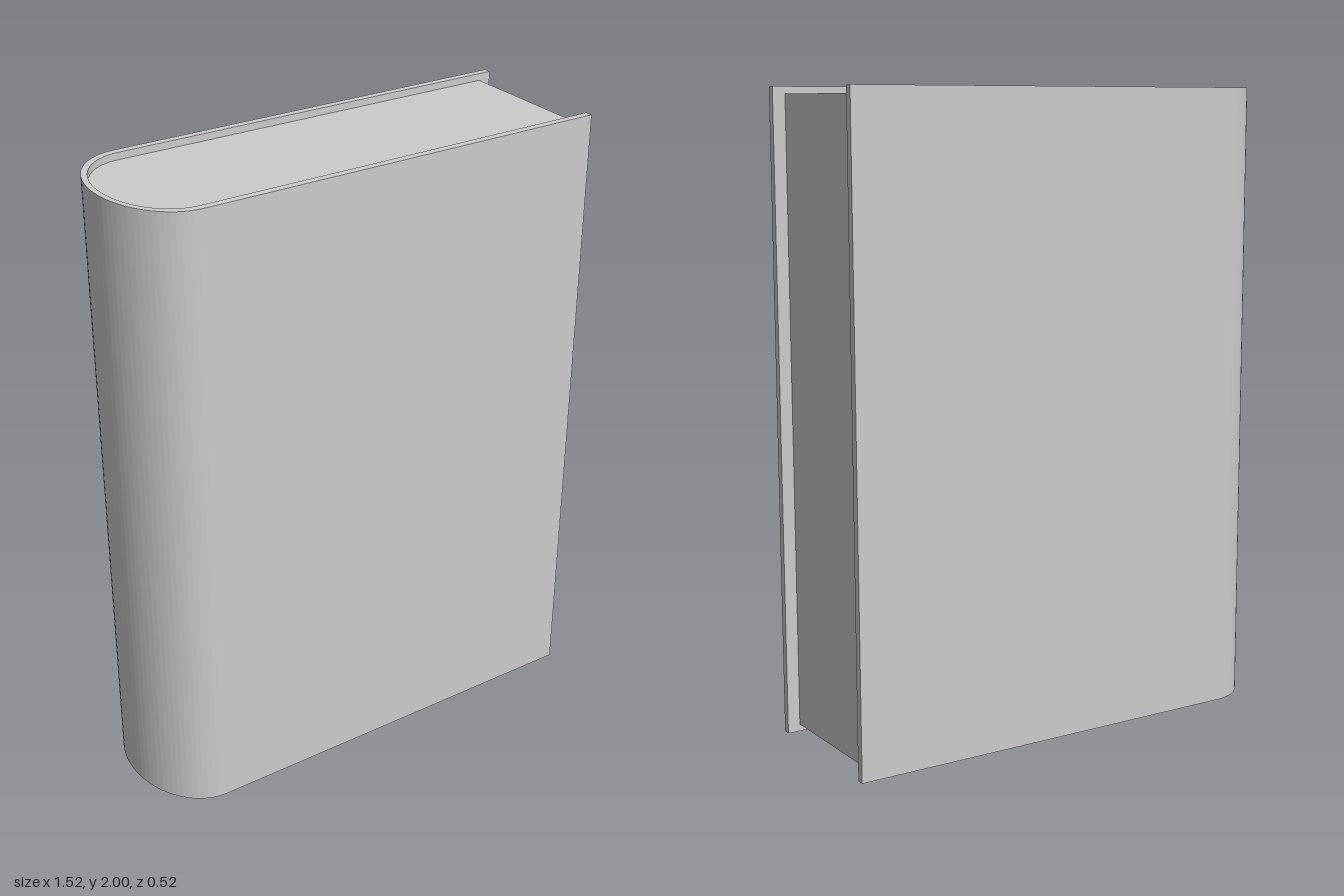
import * as THREE from 'three';

const ARC_X = -0.57; // where the flat boards meet the rounded spine

// Extrude a plan shape (x, z) upwards between two heights
function slab(name, shape, y0, y1, material) {
  const geometry = new THREE.ExtrudeGeometry(shape, {
    depth: y1 - y0, bevelEnabled: false, curveSegments: 20,
  });
  geometry.rotateX(-Math.PI / 2);
  geometry.translate(0, y0, 0);
  const mesh = new THREE.Mesh(geometry, material);
  mesh.name = name;
  return mesh;
}

// Rounded-end outline: along the back edge, round the spine, along the front edge
function roundedEnd(endX, rx, rz) {
  const s = new THREE.Shape();
  s.moveTo(endX, rz);
  s.lineTo(ARC_X, rz);
  s.absellipse(ARC_X, 0, rx, rz, Math.PI / 2, Math.PI * 1.5, false);
  s.lineTo(endX, -rz);
  return s;
}

export function createModel() {
  const book = new THREE.Group();
  book.name = 'book';
  const material = new THREE.MeshStandardMaterial({ color: 0xcccccc, flatShading: true });

  // Cover: U-shaped shell, two boards joined by the curved spine
  const cover = roundedEnd(0.76, 0.192, 0.259);
  cover.lineTo(0.76, -0.235);
  cover.lineTo(ARC_X, -0.235);
  cover.absellipse(ARC_X, 0, 0.175, 0.235, Math.PI * 1.5, Math.PI / 2, true);
  cover.lineTo(0.76, 0.235);
  cover.closePath();
  book.add(slab('cover', cover, 0, 2, material));

  // Page block: fills the shell, set back from the top, bottom and open edge
  const pages = roundedEnd(0.72, 0.175, 0.235);
  pages.closePath();
  book.add(slab('pages', pages, 0.022, 1.978, material));

  return book;
}
